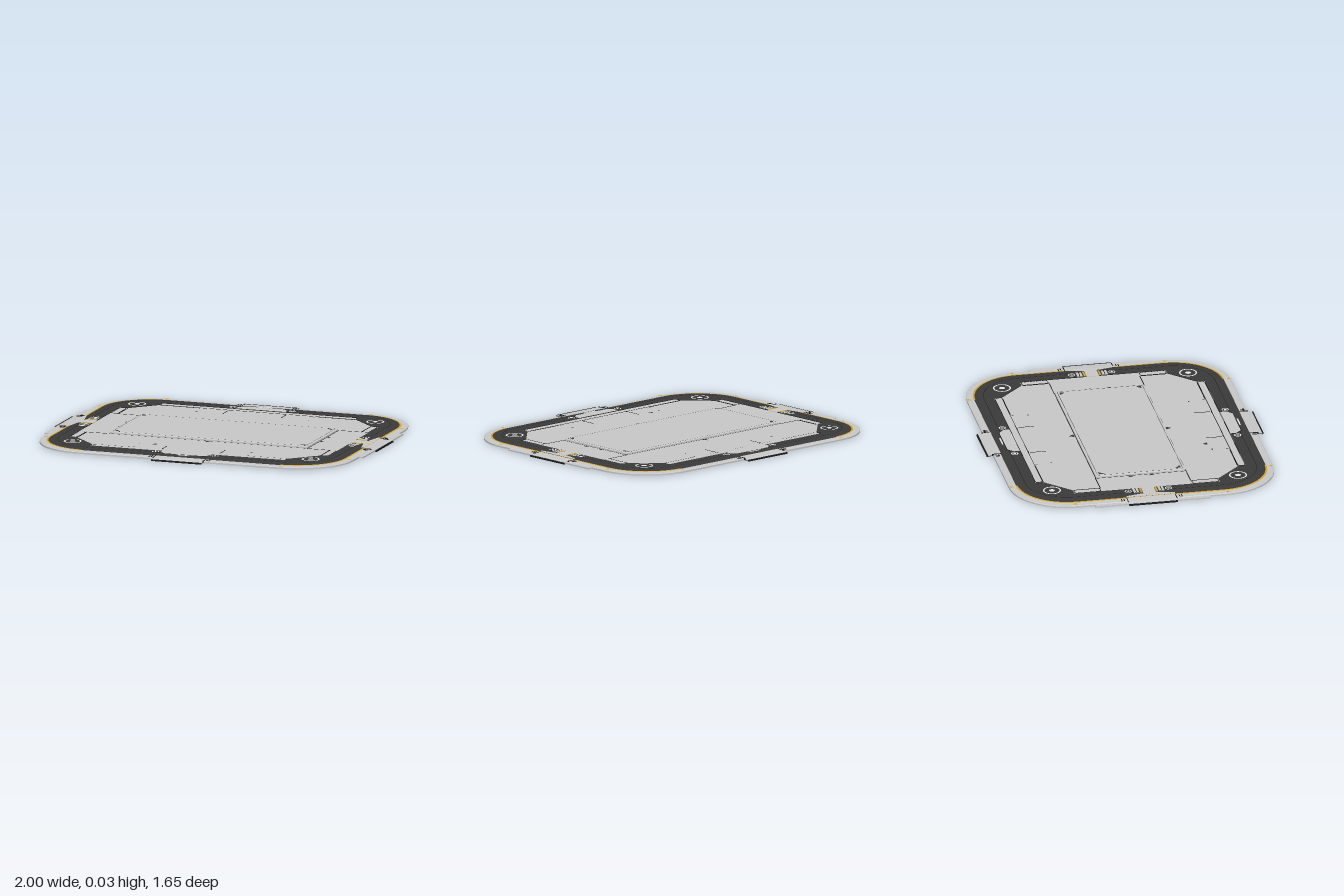
import * as THREE from 'three';

const mat = (name, color) => {
  const m = new THREE.MeshStandardMaterial({ color, side: THREE.DoubleSide });
  m.name = name;
  return m;
};

// rounded rectangle outline, counter-clockwise seen from above
function roundRect(hx, hz, r, n = 12) {
  const pts = [];
  [[1, 1], [-1, 1], [-1, -1], [1, -1]].forEach(([sx, sy], q) => {
    for (let i = 0; i <= n; i++) {
      const a = (q + i / n) * Math.PI / 2;
      pts.push(new THREE.Vector2(sx * (hx - r) + r * Math.cos(a), sy * (hz - r) + r * Math.sin(a)));
    }
  });
  return pts;
}

// sloping strip between two outlines with the same number of points
function band(a, ya, b, yb, skip = () => false) {
  const pos = [];
  a.forEach((p, i) => {
    const j = (i + 1) % a.length;
    if (skip(p, a[j])) return;
    const A = [p.x, ya, -p.y], B = [a[j].x, ya, -a[j].y];
    const C = [b[j].x, yb, -b[j].y], D = [b[i].x, yb, -b[i].y];
    pos.push(...A, ...B, ...C, ...A, ...C, ...D);
  });
  const g = new THREE.BufferGeometry();
  g.setAttribute('position', new THREE.Float32BufferAttribute(pos, 3));
  g.computeVertexNormals();
  return g;
}

// horizontal face with an optional hole
function flat(outline, y, hole) {
  const s = new THREE.Shape(outline);
  if (hole) s.holes.push(new THREE.Path(hole));
  return new THREE.ShapeGeometry(s).rotateX(-Math.PI / 2).translate(0, y, 0);
}

const poly = (...p) => p.map(([x, z]) => new THREE.Vector2(x, -z));

export function createModel() {
  const model = new THREE.Group();
  model.name = 'landingPad';
  const light = mat('lightGrey', 0xc8c8c8);
  const dark = mat('charcoal', 0x3a3a3a);
  const black = mat('black', 0x1c1c1c);
  const yellow = mat('yellow', 0xd6a52a);
  const white = mat('white', 0xeeeeee);

  const add = (name, geo, m, parent = model) => {
    const mesh = new THREE.Mesh(geo, m);
    mesh.name = name;
    parent.add(mesh);
    return mesh;
  };
  const box = (name, x, y, z, w, h, d, m, parent) =>
    add(name, new THREE.BoxGeometry(w, h, d).translate(x, y, z), m, parent);
  const mirror4 = f => { for (const sx of [-1, 1]) for (const sz of [-1, 1]) f(sx, sz); };
  // flat triangle pointing along angle a
  const arrow = (name, x, y, z, r, a, m) => {
    const s = [0, 1, 2].map(i => new THREE.Vector2(
      x + r * Math.cos(a + i * 2.0944), -z + r * Math.sin(a + i * 2.0944)));
    add(name, flat(s, y), m);
  };
  const disc = (name, x, y, z, r0, r1, m) =>
    add(name, (r0 ? new THREE.RingGeometry(r0, r1, 28) : new THREE.CircleGeometry(r1, 20))
      .rotateX(-Math.PI / 2).translate(x, y, z), m);

  // outer rim shell
  const rimOuter = roundRect(0.963, 0.787, 0.34), rimEdge = roundRect(0.958, 0.782, 0.335);
  const seam = roundRect(0.92, 0.744, 0.3), crest = roundRect(0.86, 0.69, 0.25);
  add('rimWall', band(rimOuter, 0.001, rimOuter, 0.010), light);
  add('rimBevel', band(rimOuter, 0.010, rimEdge, 0.013), light);
  add('rimTop', band(rimEdge, 0.013, seam, 0.015), light);

  // charcoal frame around the deck
  const Y = 0.021, deckY = 0.018;
  const deck = poly([0.805, 0.435], [0.805, -0.435], [0.76, -0.435], [0.61, -0.585], [0.61, -0.628],
    [-0.61, -0.628], [-0.61, -0.585], [-0.76, -0.435], [-0.805, -0.435],
    [-0.805, 0.435], [-0.76, 0.435], [-0.61, 0.585], [-0.61, 0.628],
    [0.61, 0.628], [0.61, 0.585], [0.76, 0.435]);
  add('frameSlope', band(seam, 0.015, crest, Y), dark);
  add('frameTop', flat(crest, Y, deck), dark);
  add('frameInnerWall', band(deck, Y, deck, deckY), black);
  add('frameCrestLine', flat(crest, Y + 0.0007, roundRect(0.857, 0.687, 0.247)), black);
  add('yellowOutline', band(roundRect(0.924, 0.748, 0.304), 0.0157, roundRect(0.913, 0.737, 0.293), 0.0168,
    (p, q) => Math.abs(p.x - q.x) > 0.3), yellow);

  // deck and raised central slab
  const slabLow = roundRect(0.615, 0.267, 0.012, 3), slabHigh = roundRect(0.603, 0.255, 0.01, 3);
  add('deck', flat(deck, deckY, slabLow), light);
  add('slabWall', band(slabLow, deckY, slabLow, 0.027), light);
  add('slabBevel', band(slabLow, 0.027, slabHigh, 0.03), light);
  add('slabTop', flat(slabHigh, 0.03), light);
  add('slabBaseLine', flat(roundRect(0.619, 0.271, 0.016, 3), deckY + 0.0007, slabLow), black);
  add('slabEdgeLine', flat(slabHigh, 0.0303, roundRect(0.6005, 0.2525, 0.008, 3)), dark);

  // panel seams cut through the deck
  const seamLine = (x0, z0, x1, z1) => box('panelSeam', (x0 + x1) / 2, deckY, (z0 + z1) / 2,
    Math.abs(x1 - x0) + 0.005, 0.0016, Math.abs(z1 - z0) + 0.005, black);
  mirror4((sx, sz) => {
    const L = (a, b, c, d) => seamLine(sx * a, sz * b, sx * c, sz * d);
    L(0.6, 0.58, 0.37, 0.58);
    L(0.355, 0.565, 0.355, 0.573);
    L(0.18, 0.48, 0.18, 0.57);
    L(0.16, 0.58, 0.175, 0.58);
    L(0.34, 0.48, 0.35, 0.48);
    L(0.755, 0.43, 0.755, 0.27);
    L(0.755, 0.27, 0.615, 0.27);
  });

  // raised rounded bars along the deck edges, with an outline beneath
  const bar = (x, z, hx, hz) => {
    const shift = (pts, y) => flat(pts, y).translate(x, 0, z);
    const r = Math.min(hx, hz) * 0.7;
    add('barOutline', shift(roundRect(hx, hz, r, 4), deckY + 0.0008), black);
    add('edgeBar', shift(roundRect(hx - 0.004, hz - 0.004, r - 0.003, 4), deckY + 0.0018), light);
  };
  for (const s of [-1, 1]) {
    bar(0, s * 0.604, 0.607, 0.023);
    for (const t of [-1, 1]) bar(s * 0.78, t * 0.352, 0.022, 0.08);
  }

  // corner targets, bolts and small marks
  mirror4((sx, sz) => {
    disc('cornerRing', sx * 0.74, Y + 0.001, sz * 0.555, 0.044, 0.053, white);
    disc('cornerDot', sx * 0.74, Y + 0.001, sz * 0.555, 0, 0.017, white);
    for (const [x, z] of [[0.185, 0.665], [0.84, 0.12]]) {
      disc('boltRing', sx * x, Y + 0.0012, sz * z, 0.015, 0.021, white);
      disc('boltDot', sx * x, Y + 0.0012, sz * z, 0, 0.008, white);
    }
    arrow('yellowArrow', sx * 0.63, 0.0145, sz * 0.775, 0.015, sx > 0 ? 0 : Math.PI, yellow);
    arrow('yellowArrow', sx * 0.942, 0.0152, sz * 0.455, 0.016, sz > 0 ? -Math.PI / 2 : Math.PI / 2, yellow);
    arrow('deckArrow', sx * 0.627, deckY + 0.0012, sz * 0.062, 0.018, sx > 0 ? Math.PI : 0, dark);
    add('slabCornerMark', flat([[0.59, 0.243], [0.557, 0.243], [0.59, 0.21]].map(([x, z]) =>
      new THREE.Vector2(sx * x, -sz * z)), 0.0308), dark);
    for (const d of [0, 0.014]) {
      box('rimTick', sx * (0.172 + d), 0.0145, sz * 0.765, 0.005, 0.003, 0.026, black);
      box('rimTick', sx * 0.942, 0.0148, sz * (0.165 + d), 0.026, 0.003, 0.005, black);
    }
  });
  for (const s of [-1, 1]) arrow('deckArrow', 0, deckY + 0.0012, s * 0.285, 0.022, s > 0 ? -Math.PI / 2 : Math.PI / 2, dark);
  arrow('deckArrow', -0.262, deckY + 0.0012, 0.458, 0.02, Math.PI / 2, dark);

  // clamps folded over the rim, built facing +z
  const prism = (profile, w) => new THREE.ExtrudeGeometry(
    new THREE.Shape(profile.map(([u, y]) => new THREE.Vector2(u, y))), { depth: w, bevelEnabled: false })
    .translate(0, 0, -w / 2).rotateY(-Math.PI / 2);
  function clamp(reach, inner, w) {
    const g = new THREE.Group();
    g.name = 'clamp';
    const k = reach - 0.03;
    add('clampPlate', prism([[inner, 0.0165], [k, 0.0125], [reach - 0.006, 0.008],
      [reach - 0.006, 0.004], [k, 0.008], [inner, 0.012]], w), light, g);
    add('clampUnderside', prism([[inner, 0.0118], [k, 0.0078], [reach - 0.008, 0.0038],
      [reach - 0.008, 0.0005], [inner, 0.0005]], w - 0.012), dark, g);
    box('clampLip', 0, 0.0045, reach - 0.004, w, 0.009, 0.008, black, g);
    for (const s of [-1, 1])
      box('clampEdge', s * w / 2, 0.0105, (inner + k) / 2, 0.004, 0.013, k - inner, black, g);
    return g;
  }
  for (const s of [-1, 1]) {
    // front and back clamps with a latch plate on the frame
    const end = clamp(0.825, 0.742, 0.31);
    const latch = [[-0.155, 0.628], [-0.155, 0.664], [-0.122, 0.696], [0.122, 0.696], [0.155, 0.664], [0.155, 0.628]];
    add('latchOutline', flat(poly(...latch.map(([x, z]) => [x * 1.03, z + 0.004])), Y + 0.001), black, end);
    add('latchPlate', flat(poly(...latch), Y + 0.0018), light, end);
    box('latchDash', 0, Y + 0.0008, 0.708, 0.09, 0.002, 0.008, white, end);
    end.rotation.y = s > 0 ? 0 : Math.PI;
    model.add(end);

    // side clamps with skirt, tongue, brackets and yellow guides
    const side = clamp(1, 0.918, 0.29);
    box('skirt', 0, 0.006, 0.972, 0.69, 0.008, 0.036, light, side);
    add('tongueFlare', flat(poly([-0.145, 0.922], [0.145, 0.922], [0.145, 0.905], [0.05, 0.885],
      [-0.05, 0.885], [-0.145, 0.905]), Y + 0.0006), light, side);
    box('tongue', 0, Y, 0.85, 0.075, 0.003, 0.1, light, side);
    for (const t of [-1, 1]) {
      box('yellowGuide', t * 0.046, Y + 0.0005, 0.84, 0.011, 0.004, 0.062, yellow, side);
      box('bracket', t * 0.075, Y + 0.0005, 0.838, 0.032, 0.004, 0.055, light, side);
      box('bracketSlot', t * 0.075, Y + 0.0027, 0.838, 0.004, 0.0012, 0.055, black, side);
    }
    side.rotation.y = s * Math.PI / 2;
    model.add(side);
  }
  return model;
}
